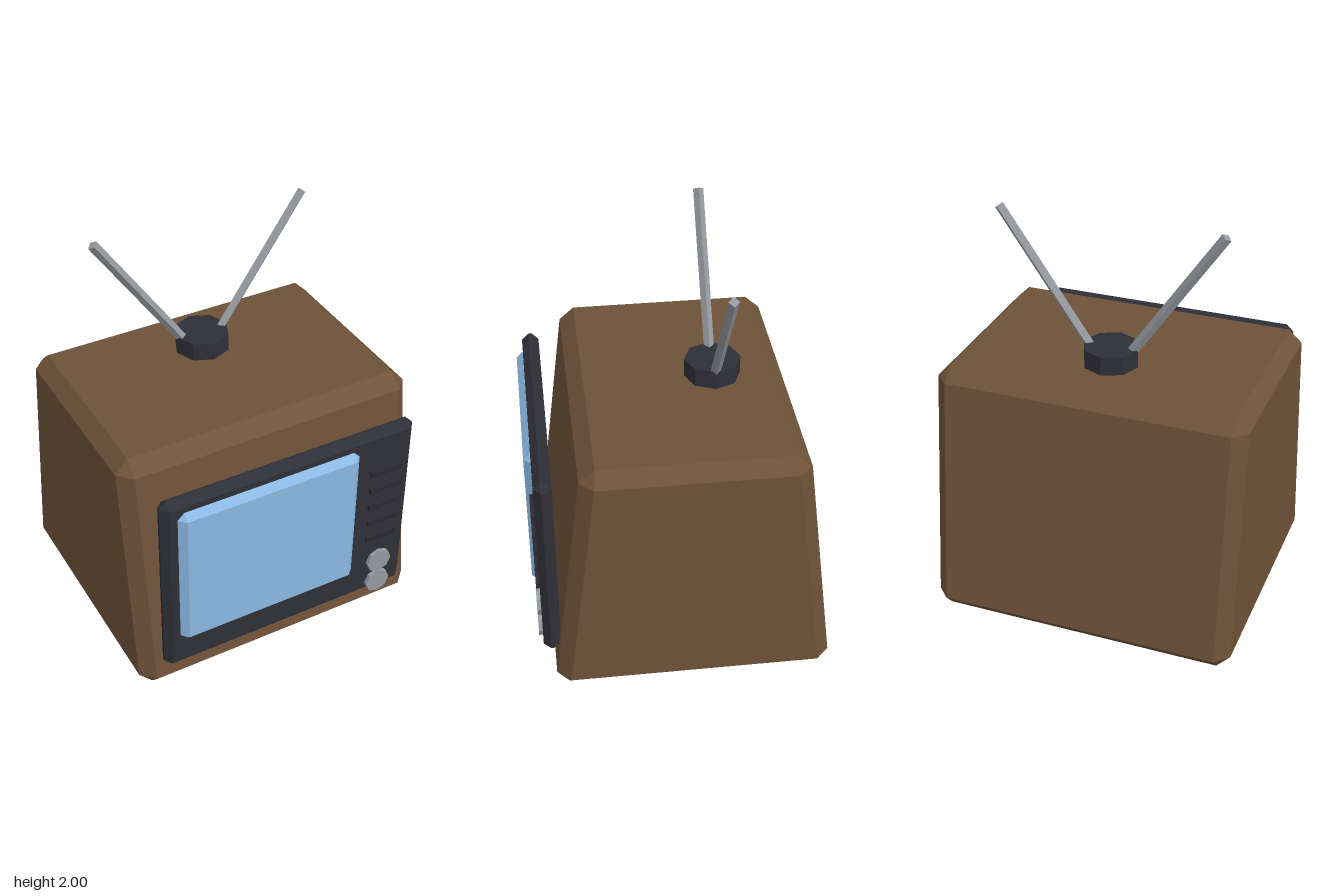
import * as THREE from 'three';
import { ConvexGeometry } from 'three/addons/geometries/ConvexGeometry.js';

const material = (name, color) => {
  const m = new THREE.MeshStandardMaterial({ color });
  m.name = name;
  return m;
};

// Box with chamfered edges; its half depth may shrink from bottom to top by `taper` per unit of height.
function chamferBox(w, h, d, bevel, taper = 0) {
  const points = [];
  for (const sx of [-1, 1]) for (const sy of [-1, 1]) for (const sz of [-1, 1]) {
    for (let axis = 0; axis < 3; axis++) {
      const inset = (i) => (i === axis ? 0 : bevel);
      const y = sy * (h / 2 - inset(1));
      points.push(new THREE.Vector3(
        sx * (w / 2 - inset(0)), y, sz * (d / 2 - taper * y - inset(2))));
    }
  }
  return new ConvexGeometry(points);
}

export function createModel() {
  const wood = material('wood brown', 0x6f5239);
  const plastic = material('dark plastic', 0x2f2f37);
  const vent = material('vent dark', 0x2b2830);
  const glass = material('screen blue', 0x8bb8e2);
  const metal = material('metal grey', 0x959a9f);

  const model = new THREE.Group();
  model.name = 'television';
  const add = (name, geometry, mat, x, y, z) => {
    const mesh = new THREE.Mesh(geometry, mat);
    mesh.name = name;
    mesh.position.set(x, y, z);
    model.add(mesh);
    return mesh;
  };
  const flat = (geometry) => {
    const g = geometry.toNonIndexed();
    g.computeVertexNormals();
    return g;
  };

  // Cabinet and stand
  add('cabinet', chamferBox(1.404, 1.18, 1.1, 0.06, 0.127), wood, 0, 0.74, -0.04);
  add('stand', chamferBox(0.78, 0.16, 0.78, 0.03), plastic, 0, 0.08, -0.038);

  // Front panel with raised screen
  add('frontPanel', chamferBox(1.224, 0.94, 0.078, 0.032), plastic, 0, 0.77, 0.589);
  add('screen', chamferBox(0.87, 0.72, 0.09, 0.03), glass, -0.11, 0.82, 0.614);

  // Speaker slots
  for (let i = 0; i < 5; i++) {
    add('speakerSlot', new THREE.BoxGeometry(0.155, 0.023, 0.03), vent, 0.468, 1.024 - i * 0.0945, 0.629);
  }

  // Tuning knobs
  for (const y of [0.49, 0.365]) {
    const knob = add('knob', flat(new THREE.CylinderGeometry(0.062, 0.062, 0.04, 8)), metal, 0.468, y, 0.626);
    knob.rotation.x = Math.PI / 2;
  }

  // Antenna base and two rods
  add('antennaBase', flat(new THREE.CylinderGeometry(0.125, 0.125, 0.1, 8)), plastic, 0, 1.365, -0.198);
  for (const side of [-1, 1]) {
    const start = new THREE.Vector2(0.07, 1.362);
    const end = new THREE.Vector2(0.498, 1.987);
    const rod = add('antennaRod',
      flat(new THREE.CylinderGeometry(0.023, 0.023, start.distanceTo(end), 4)), metal,
      side * (start.x + end.x) / 2, (start.y + end.y) / 2, -0.198);
    rod.rotation.z = -side * Math.atan2(end.x - start.x, end.y - start.y);
  }
  return model;
}
